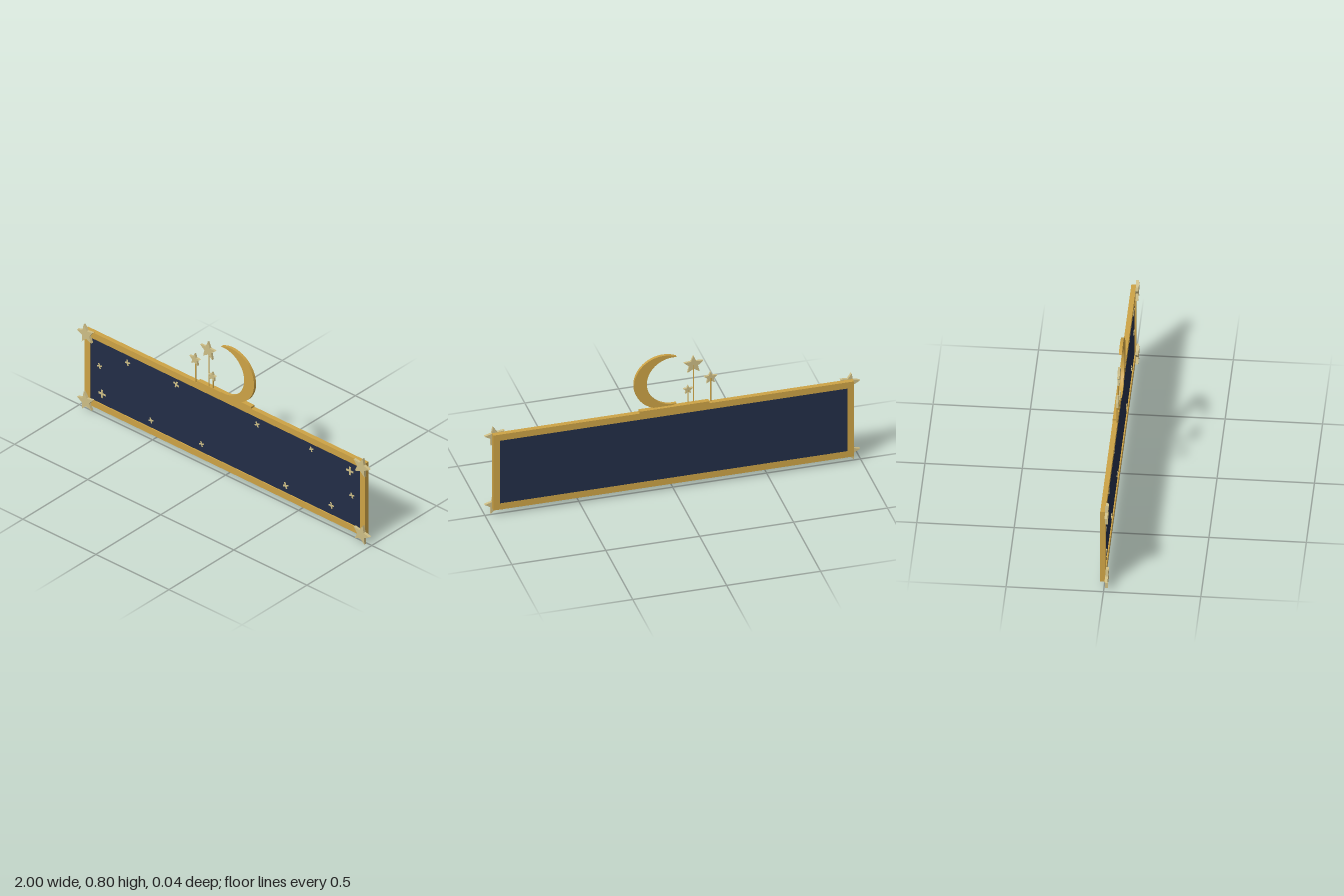
import * as THREE from 'three';

const gold = new THREE.MeshStandardMaterial({ color: 0xcca245 });
gold.name = 'gold';
const navy = new THREE.MeshStandardMaterial({ color: 0x222d47 });
navy.name = 'navy';
const paleGold = new THREE.MeshStandardMaterial({ color: 0xcdbd85 });
paleGold.name = 'paleGold';

function add(parent, name, geometry, material, x = 0, y = 0, z = 0, tilt = 0) {
  const mesh = new THREE.Mesh(geometry, material);
  mesh.name = name;
  mesh.position.set(x, y, z);
  mesh.rotation.z = tilt;
  parent.add(mesh);
  return mesh;
}

const extrude = (shape, depth, curveSegments = 12) =>
  new THREE.ExtrudeGeometry(shape, { depth, bevelEnabled: false, curveSegments });

function rectPoints(x, y0, y1) {
  return [[-x, y0], [x, y0], [x, y1], [-x, y1]].map(([a, b]) => new THREE.Vector2(a, b));
}

// Five-pointed star with one tip up
function starGeometry(radius, depth) {
  const points = [];
  for (let i = 0; i < 10; i++) {
    const r = i % 2 ? radius * 0.45 : radius;
    const a = Math.PI / 2 + (i * Math.PI) / 5;
    points.push(new THREE.Vector2(r * Math.cos(a), r * Math.sin(a)));
  }
  return extrude(new THREE.Shape(points), depth);
}

// Plus-shaped sparkle
function sparkleGeometry(arm, half) {
  const points = [];
  for (let i = 0; i < 4; i++) {
    const a = (i * Math.PI) / 2;
    for (const [x, y] of [[arm, -half], [arm, half], [half, half]]) {
      points.push(new THREE.Vector2(x, y).rotateAround(new THREE.Vector2(), a));
    }
  }
  return extrude(new THREE.Shape(points), 0.003);
}

// Crescent between an outer and an inner circle sharing two tips
function moonGeometry() {
  const R = 0.156, r = 0.139, shift = -0.051, tipX = -0.07;
  const outer = Math.acos(tipX / R);
  const inner = Math.acos((tipX - shift) / r);
  const shape = new THREE.Shape();
  shape.absarc(0, 0, R, -outer, outer, false);
  shape.absarc(shift, 0, r, inner, -inner, true);
  return extrude(shape, 0.016, 32);
}

export function createModel() {
  const model = new THREE.Group();
  model.name = 'starrySign';

  // Board and surrounding frame
  const frame = new THREE.Shape(rectPoints(0.96, 0.034, 0.484));
  frame.holes.push(new THREE.Path(rectPoints(0.924, 0.071, 0.447)));
  add(model, 'frame', extrude(frame, 0.026), gold, 0, 0, -0.02);
  add(model, 'panel', new THREE.BoxGeometry(1.85, 0.378, 0.019), navy, 0, 0.259, -0.0099);

  // Sparkles on the front of the panel: x, y, arm length, tilt
  const sparkles = [
    [-0.67, 0.397, 0.017, 0.2], [-0.337, 0.408, 0.019, -0.35], [0.216, 0.402, 0.017, 0.5],
    [0.586, 0.41, 0.015, 0.35], [0.851, 0.391, 0.024, 0], [0.864, 0.247, 0.017, 0.35],
    [0.724, 0.126, 0.018, 0.15], [0.412, 0.113, 0.019, 0.35], [-0.164, 0.12, 0.016, 0.3],
    [-0.51, 0.115, 0.016, 0.3], [-0.844, 0.133, 0.024, 0], [-0.862, 0.295, 0.017, 0.3],
  ];
  for (const [x, y, arm, tilt] of sparkles) {
    add(model, 'sparkle', sparkleGeometry(arm, arm * 0.22), paleGold, x, y, -0.0005, tilt);
  }

  // Corner stars, leaning outwards
  const cornerStar = starGeometry(0.057, 0.015);
  for (const side of [-1, 1]) {
    for (const y of [0.052, 0.462]) {
      add(model, 'cornerStar', cornerStar, paleGold, side * 0.943, y, 0.005, -side * 0.2);
    }
  }

  // Crest: base, crescent moon and stars on posts
  add(model, 'crestBase', new THREE.BoxGeometry(0.37, 0.014, 0.026), gold, -0.005, 0.488, -0.007);
  add(model, 'moon', moonGeometry(), gold, 0.05, 0.642, -0.003);
  const crestStars = [[-0.203, 0.622, 0.037, 0.008], [-0.112, 0.716, 0.054, 0.006], [-0.083, 0.57, 0.027, 0.006]];
  for (const [x, y, radius, width] of crestStars) {
    add(model, 'crestStar', starGeometry(radius, 0.012), paleGold, x, y, 0);
    const height = y - 0.48;
    add(model, 'starPost', new THREE.CylinderGeometry(width / 2, width / 2, height, 8), gold, x, 0.48 + height / 2, 0.002);
  }
  return model;
}
